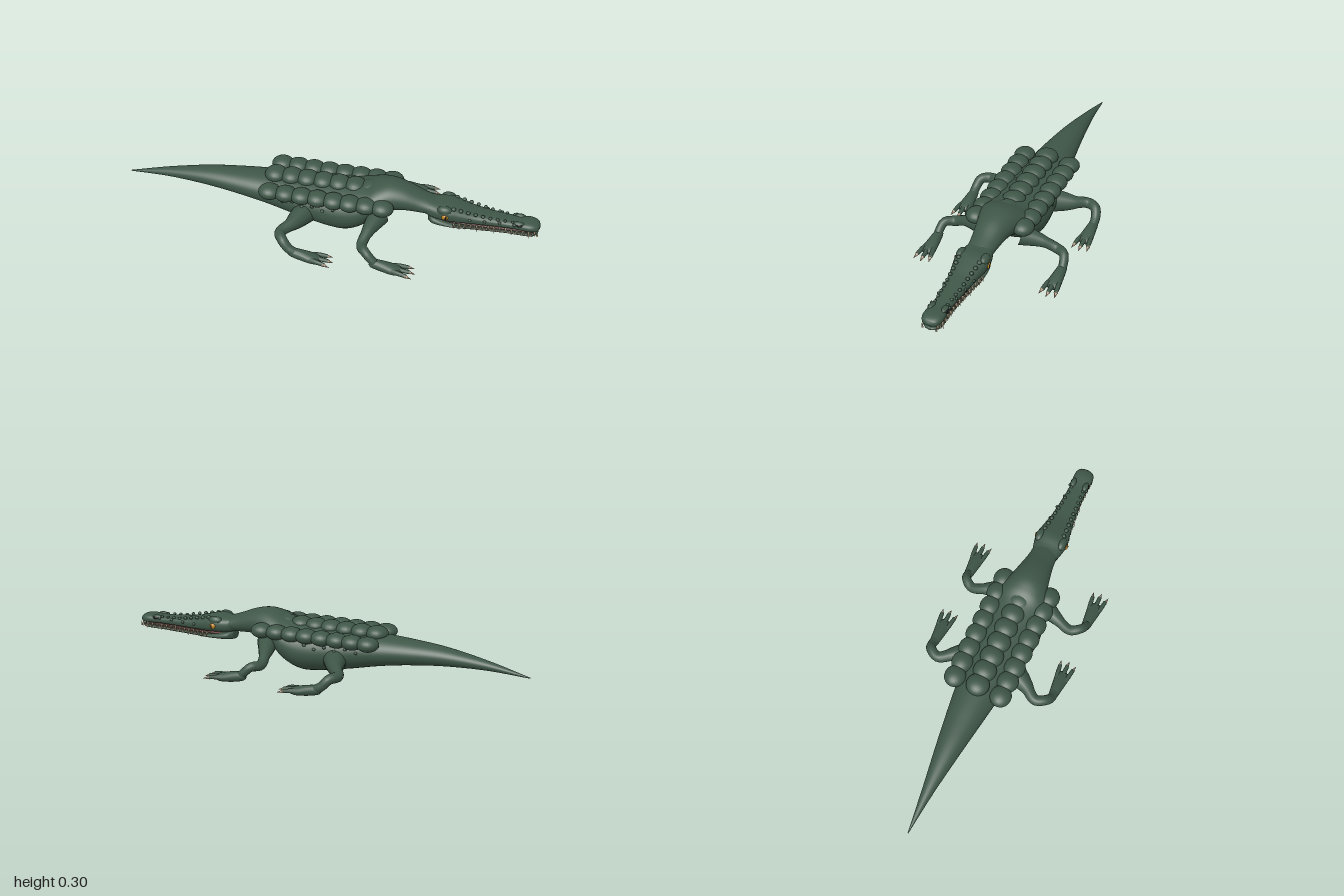
import * as THREE from 'three';

const mat = (name, color) => Object.assign(new THREE.MeshStandardMaterial({ color }), { name });
const V = (x, y, z) => new THREE.Vector3(x, y, z);

// Smooth skin along x through stations [x, top, bottom, halfWidth]; power < 1 squares the section
function loft(stations, { zc = 0, power = 1, steps = 48, sides = 32 } = {}) {
  const a = new THREE.CatmullRomCurve3(stations.map(s => V(s[0], s[1], s[2])), false, 'catmullrom');
  const b = new THREE.CatmullRomCurve3(stations.map(s => V(s[0], s[3], 0)), false, 'catmullrom');
  const pos = [], idx = [];
  const sp = v => Math.sign(v) * Math.abs(v) ** power;
  for (let i = -1; i <= steps + 1; i++) {
    const t = Math.min(1, Math.max(0, i / steps));
    const p = a.getPoint(t), w = b.getPoint(t).y;
    const k = i < 0 || i > steps ? 0 : 1; // closed ends
    for (let j = 0; j < sides; j++) {
      const q = (j / sides) * Math.PI * 2;
      pos.push(p.x, (p.y + p.z) / 2 + k * sp(Math.cos(q)) * (p.y - p.z) / 2, zc + k * sp(Math.sin(q)) * w);
    }
  }
  for (let i = 0; i < steps + 2; i++) for (let j = 0; j < sides; j++) {
    const j2 = (j + 1) % sides, p = i * sides, n = p + sides;
    idx.push(p + j, p + j2, n + j, p + j2, n + j2, n + j);
  }
  const g = new THREE.BufferGeometry();
  g.setAttribute('position', new THREE.Float32BufferAttribute(pos, 3));
  g.setIndex(idx);
  g.computeVertexNormals();
  return g;
}

// Tube with a radius given at each point [x, y, z, r]
function limb(pts, seg = 28, sides = 16) {
  const curve = new THREE.CatmullRomCurve3(pts.map(p => V(p[0], p[1], p[2])));
  const g = new THREE.TubeGeometry(curve, seg, 1, sides);
  const pos = g.attributes.position, v = V(0, 0, 0);
  for (let i = 0; i <= seg; i++) {
    const c = curve.getPointAt(i / seg);
    const f = (i / seg) * (pts.length - 1), k = Math.min(pts.length - 2, Math.floor(f));
    const r = THREE.MathUtils.lerp(pts[k][3], pts[k + 1][3], f - k);
    for (let j = 0; j <= sides; j++) {
      const n = i * (sides + 1) + j;
      v.fromBufferAttribute(pos, n).sub(c).multiplyScalar(r).add(c);
      pos.setXYZ(n, v.x, v.y, v.z);
    }
  }
  return g;
}

// Cone with its base at one point and its tip at another
function spike(from, to, r) {
  const d = to.clone().sub(from), len = d.length();
  const g = new THREE.ConeGeometry(r, len, 8);
  g.translate(0, len / 2, 0);
  g.applyQuaternion(new THREE.Quaternion().setFromUnitVectors(V(0, 1, 0), d.normalize()));
  return g.translate(from.x, from.y, from.z);
}

const blob = (x, y, z, rx, ry = rx, rz = rx, n = 20) =>
  new THREE.SphereGeometry(1, n, Math.ceil(n * 0.7)).scale(rx, ry, rz).translate(x, y, z);

export function createModel() {
  const root = new THREE.Group();
  root.name = 'crocodile';
  const skin = mat('skin green', 0x3e5647), ivory = mat('tooth ivory', 0xd6c4a4);
  const horn = mat('claw horn', 0xb89f88), amber = mat('eye amber', 0xc4851f);
  const black = mat('black', 0x121513), flesh = mat('mouth red', 0x5c3430);
  const group = name => {
    const g = new THREE.Group();
    g.name = name;
    root.add(g);
    return g;
  };
  const add = (parent, name, geo, m = skin) => {
    const mesh = new THREE.Mesh(geo, m);
    mesh.name = name;
    parent.add(mesh);
  };

  // Tail, belly, shoulder hump and neck in one skin
  add(root, 'body', loft([
    [-1, 0.124, 0.12, 0.002], [-0.8, 0.175, 0.131, 0.027], [-0.6, 0.212, 0.126, 0.057],
    [-0.42, 0.228, 0.108, 0.084], [-0.28, 0.235, 0.085, 0.104], [-0.14, 0.24, 0.055, 0.127],
    [0, 0.245, 0.029, 0.146], [0.1, 0.25, 0.025, 0.152], [0.18, 0.262, 0.062, 0.145],
    [0.24, 0.285, 0.115, 0.122], [0.3, 0.295, 0.15, 0.098], [0.37, 0.282, 0.162, 0.08],
    [0.45, 0.25, 0.16, 0.066], [0.52, 0.225, 0.16, 0.062]], { steps: 90, sides: 40 }));

  // Three rows of back scutes
  const scutes = group('scutes');
  for (let i = 0; i < 8; i++) {
    const x = -0.26 + i * 0.077;
    add(scutes, 'middleScute', blob(x, 0.237, 0, 0.054, 0.036, 0.056));
    for (const s of [1, -1]) add(scutes, 'sideScute', blob(x, 0.216, s * 0.117, 0.054, 0.035, 0.051));
  }

  // Head, jaws and mouth lining
  const head = group('head');
  add(head, 'upperJaw', loft([
    [0.45, 0.235, 0.165, 0.05], [0.51, 0.23, 0.152, 0.07], [0.57, 0.235, 0.148, 0.08],
    [0.63, 0.221, 0.145, 0.07], [0.7, 0.203, 0.145, 0.057], [0.79, 0.193, 0.146, 0.048],
    [0.88, 0.187, 0.147, 0.043], [0.95, 0.19, 0.145, 0.048], [0.985, 0.182, 0.147, 0.036],
    [0.997, 0.168, 0.156, 0.012]], { power: 0.8 }));
  add(head, 'lowerJaw', loft([
    [0.48, 0.16, 0.117, 0.03], [0.51, 0.157, 0.115, 0.058], [0.6, 0.139, 0.116, 0.062],
    [0.7, 0.137, 0.117, 0.05], [0.85, 0.137, 0.119, 0.04], [0.95, 0.139, 0.121, 0.042],
    [0.98, 0.138, 0.124, 0.028], [0.99, 0.134, 0.128, 0.01]], { power: 0.8 }));
  add(head, 'mouthLining', loft([
    [0.53, 0.155, 0.13, 0.045], [0.7, 0.15, 0.13, 0.042], [0.85, 0.15, 0.13, 0.034],
    [0.97, 0.15, 0.13, 0.025]], { steps: 16 }), flesh);

  // Jaw edge half width at x
  const edge = x => x < 0.8 ? THREE.MathUtils.mapLinear(x, 0.6, 0.8, 0.066, 0.045)
    : x < 0.95 ? 0.043 : 0.035;
  for (const s of [1, -1]) {
    // Eyes under brow ridges
    add(head, 'brow', blob(0.56, 0.213, s * 0.057, 0.036, 0.022, 0.022));
    add(head, 'eye', blob(0.566, 0.189, s * 0.074, 0.017, 0.014, 0.012), amber);
    add(head, 'pupil', blob(0.57, 0.189, s * 0.083, 0.005, 0.01, 0.004, 12), black);
    // Nostrils
    add(head, 'nostrilRim', blob(0.9, 0.181, s * 0.031, 0.026, 0.012, 0.014));
    add(head, 'nostril', blob(0.905, 0.179, s * 0.041, 0.014, 0.008, 0.007, 12), black);
    // Teeth
    for (let i = 0; i < 15; i++) {
      const x = 0.605 + i * 0.0265, z = s * edge(x), long = i % 3 === 1 ? 0.034 : 0.025;
      add(head, 'upperTooth', spike(V(x, 0.152, z * 0.96), V(x + 0.002, 0.152 - long, z * 1.08), 0.006), ivory);
      add(head, 'lowerTooth', spike(V(x + 0.013, 0.13, z * 0.93), V(x + 0.013, 0.153, z * 1.03), 0.005), ivory);
    }
    // Bumps along the snout and cheeks
    for (let i = 0; i < 9; i++) {
      const x = 0.6 + i * 0.034, r = 0.011 - i * 0.0005;
      const y = 0.222 - Math.min(i, 5) * 0.006 - Math.max(0, i - 5) * 0.002;
      add(head, 'snoutBump', blob(x, y, s * (0.05 - i * 0.0025), r, r * 0.8, r, 10));
      if (i % 2 === 0) add(head, 'cheekBump', blob(x + 0.01, 0.18, s * (edge(x) + 0.001), 0.008, 0.007, 0.006, 10));
    }
    // Bumps along the flanks
    for (let i = 0; i < 9; i++) {
      add(root, 'flankBump', blob(-0.2 + i * 0.05, 0.165 + (i % 2) * 0.014,
        s * (0.113 + 0.027 * Math.sin(i * 0.36)), 0.009, 0.007, 0.009, 10));
    }
  }

  // Legs with clawed feet
  const legs = {
    hind: { foot: [-0.1, 0], path: [[-0.09, 0.12, 0.1, 0.058], [-0.13, 0.105, 0.185, 0.046],
      [-0.172, 0.093, 0.255, 0.028], [-0.15, 0.09, 0.3, 0.025], [-0.115, 0.055, 0.315, 0.023],
      [-0.085, 0.038, 0.315, 0.021]] },
    front: { foot: [0.283, 0.012], path: [[0.26, 0.155, 0.095, 0.05], [0.23, 0.127, 0.185, 0.038],
      [0.217, 0.095, 0.26, 0.025], [0.245, 0.095, 0.303, 0.024], [0.278, 0.066, 0.315, 0.021],
      [0.3, 0.045, 0.315, 0.02]] },
  };
  for (const [name, { foot: [fx, fy], path }] of Object.entries(legs)) for (const s of [1, -1]) {
    const leg = group(name + (s > 0 ? 'LeftLeg' : 'RightLeg'));
    const zc = s * 0.315;
    add(leg, 'limb', limb(path.map(([x, y, z, r]) => [x, y, z * s, r])));
    add(leg, 'foot', loft([[-0.015, 0.05, 0.025, 0.012], [0, 0.06, 0.015, 0.021], [0.05, 0.054, 0.004, 0.028],
      [0.1, 0.042, 0, 0.034], [0.125, 0.034, 0.004, 0.029], [0.137, 0.024, 0.012, 0.012]]
      .map(([x, t, b, w]) => [fx + x, fy + t, fy + b, w]), { zc, steps: 20, sides: 20 }));
    for (const k of [-1, 0, 1]) {
      const z = zc + k * 0.033, x = fx + (k ? 0.155 : 0.165);
      add(leg, 'toe', limb([[fx + 0.09, fy + 0.024, zc + k * 0.019, 0.014],
        [fx + 0.125, fy + 0.024, zc + k * 0.028, 0.011], [x + 0.008, fy + 0.019, z, 0.009]], 8, 10));
      add(leg, 'claw', spike(V(x, fy + 0.02, z), V(x + 0.034, fy + 0.012, z + k * 0.006), 0.0095), horn);
    }
  }
  return root;
}
